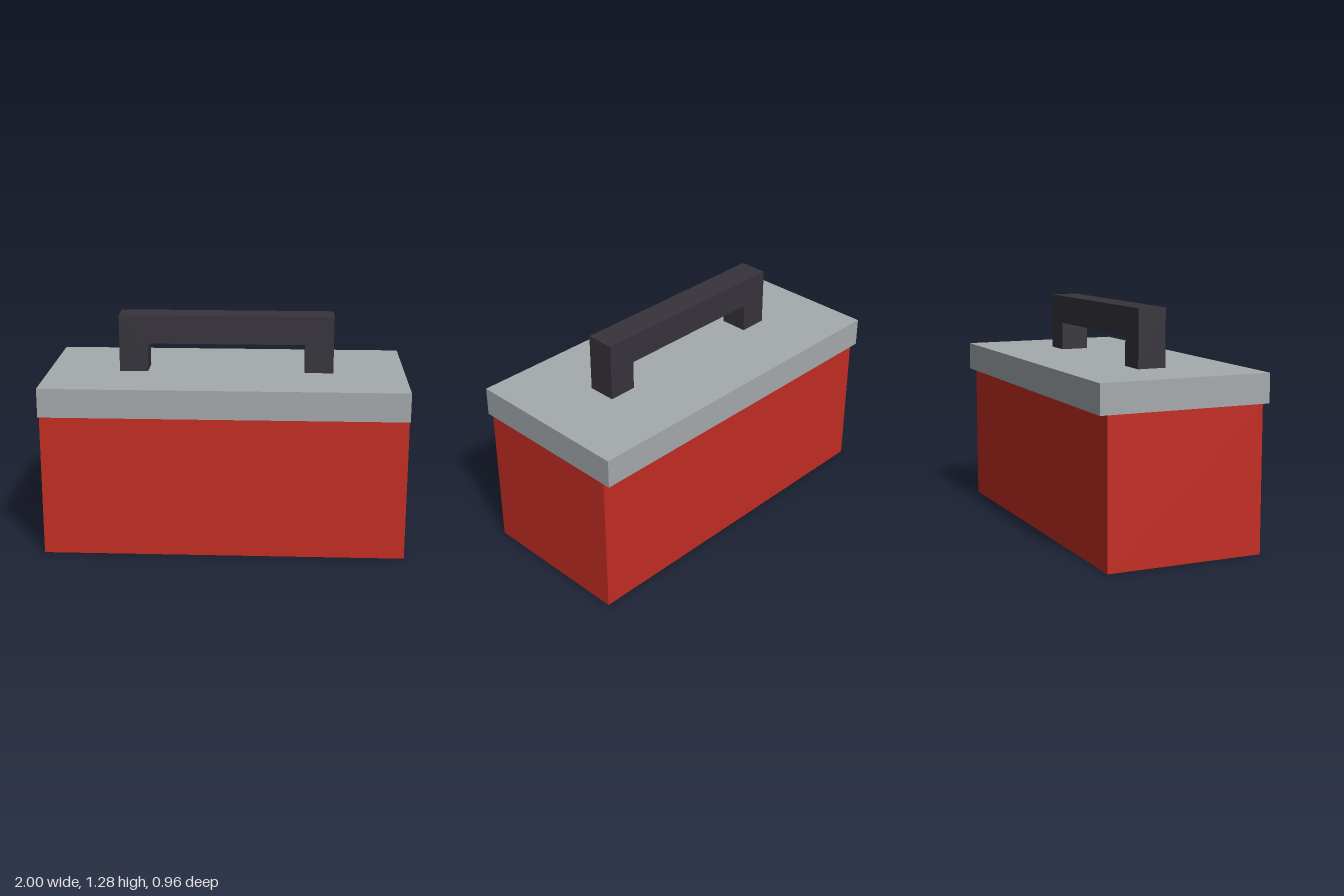
import * as THREE from 'three';

const paint = (name, color) => {
  const m = new THREE.MeshStandardMaterial({ color });
  m.name = name;
  return m;
};

export function createModel() {
  const red = paint('red body', 0xc42d23);
  const grey = paint('grey lid', 0xa5aaad);
  const dark = paint('dark handle', 0x36343b);

  const model = new THREE.Group();
  model.name = 'toolbox';

  const add = (name, geometry, material, y = 0) => {
    const mesh = new THREE.Mesh(geometry, material);
    mesh.name = name;
    mesh.position.y = y;
    model.add(mesh);
  };

  // Box body and the lid overhanging it at front and back
  add('body', new THREE.BoxGeometry(2, 0.8, 0.88), red, 0.4);
  add('lid', new THREE.BoxGeometry(2, 0.16, 0.96), grey, 0.88);

  // Square-cornered handle: one arch profile, extruded through its depth
  const arch = new THREE.Shape([
    [-0.6, 0], [-0.44, 0], [-0.44, 0.16], [0.44, 0.16],
    [0.44, 0], [0.6, 0], [0.6, 0.32], [-0.6, 0.32],
  ].map(([x, y]) => new THREE.Vector2(x, y)));
  const handle = new THREE.ExtrudeGeometry(arch, { depth: 0.16, bevelEnabled: false });
  handle.translate(0, 0, -0.08);
  add('handle', handle, dark, 0.96);

  return model;
}
